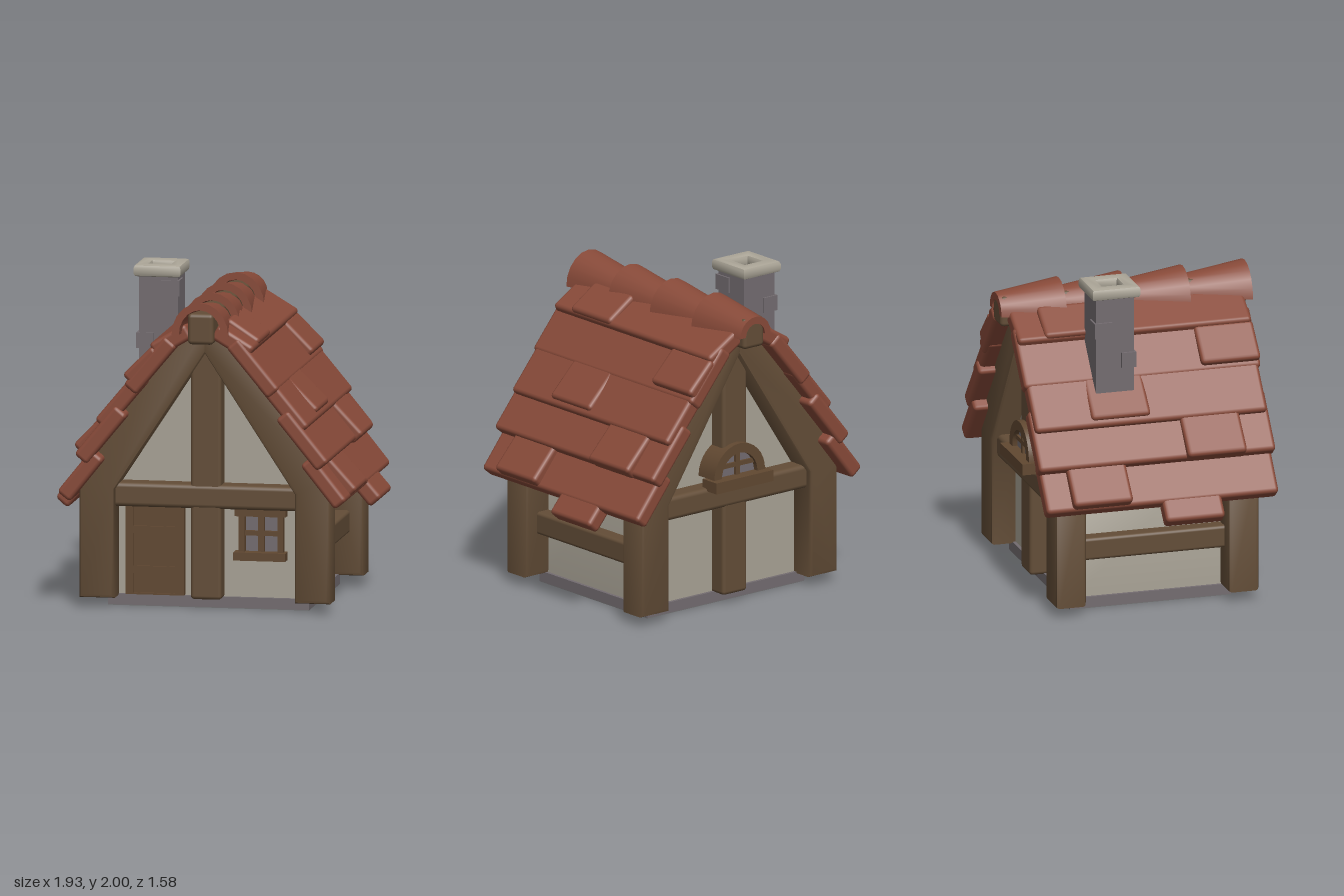
import * as THREE from 'three';
import { toCreasedNormals } from 'three/addons/utils/BufferGeometryUtils.js';
import { RoundedBoxGeometry } from 'three/addons/geometries/RoundedBoxGeometry.js';

const paint = (name, color) => {
  const m = new THREE.MeshStandardMaterial({ color });
  m.name = name;
  return m;
};

export function createModel() {
  const plaster = paint('plaster', 0xa8a295);
  const timber = paint('timber', 0x634d37);
  const doorWood = paint('door wood', 0x614831);
  const clay = paint('roof clay', 0x884a39);
  const stone = paint('grey stone', 0x736c70);
  const capStone = paint('pale stone', 0xaca698);
  const dark = paint('dark underside', 0x717171);

  const model = new THREE.Group();
  model.name = 'cottage';

  const add = (parent, name, geometry, material) => {
    const mesh = new THREE.Mesh(geometry, material);
    mesh.name = name;
    parent.add(mesh);
    return mesh;
  };
  // Box given by its limits, with optional rounded edges
  const box = (parent, name, material, [x0, x1], [y0, y1], [z0, z1], r = 0) => {
    const size = [x1 - x0, y1 - y0, z1 - z0];
    const geo = r ? new RoundedBoxGeometry(...size, 2, r) : new THREE.BoxGeometry(...size);
    geo.translate((x0 + x1) / 2, (y0 + y1) / 2, (z0 + z1) / 2);
    return add(parent, name, geo, material);
  };
  // Outline in x, y extruded from z0 to z1, with optional bevel and holes
  const slab = (parent, name, material, outline, z0, z1, bevel = 0, holes = []) => {
    const toPoints = (list) => list.map(([x, y]) => new THREE.Vector2(x, y));
    const shape = new THREE.Shape(toPoints(outline));
    holes.forEach((h) => shape.holes.push(new THREE.Path(toPoints(h))));
    const geo = new THREE.ExtrudeGeometry(shape, {
      depth: z1 - z0 - 2 * bevel, bevelEnabled: bevel > 0, bevelThickness: bevel,
      bevelSize: bevel, bevelOffset: -bevel, bevelSegments: 2,
    });
    geo.translate(0, 0, z0 + bevel);
    return add(parent, name, toCreasedNormals(geo, 0.7), material);
  };
  const rect = (x0, x1, y0, y1) => [[x0, y0], [x1, y0], [x1, y1], [x0, y1]];

  // Foundation and walls
  box(model, 'foundation', stone, [-0.62, 0.62], [0.004, 0.07], [-0.51, 0.51]);
  box(model, 'foundationUnderside', dark, [-0.618, 0.618], [0, 0.006], [-0.508, 0.508]);
  slab(model, 'walls', plaster,
    [[-0.6, 0.06], [0.6, 0.06], [0.6, 0.97], [0, 1.73], [-0.6, 0.97]], -0.49, 0.49);

  // Timber frame, the same on both gables
  for (const s of [1, -1]) {
    const gable = new THREE.Group();
    gable.name = s > 0 ? 'frontFrame' : 'backFrame';
    gable.rotation.y = s > 0 ? 0 : Math.PI;
    model.add(gable);
    for (const m of [1, -1]) {
      const flip = (pts) => (m > 0 ? pts : pts.map(([x, y]) => [-x, y]).reverse());
      slab(gable, 'cornerPostAndRafter', timber,
        flip([[0.555, 0.062], [0.772, 0.062], [0.772, 0.83], [0.4, 1.38], [0.1, 1.75], [-0.02, 1.75],
          [-0.02, 1.61], [0.555, 0.73]]), 0.45, 0.645, 0.022);
    }
    box(gable, 'centrePost', timber, [-0.095, 0.095], [0.062, 1.72], [0.42, 0.6], 0.022);
    box(gable, 'crossBeam', timber, [-0.6, 0.6], [0.62, 0.768], [0.44, 0.607], 0.028);
    box(model, 'sideBeam', timber, s > 0 ? [0.56, 0.69] : [-0.69, -0.56],
      [0.325, 0.465], [-0.5, 0.5], 0.02);
  }
  box(model, 'ridgeBeam', timber, [-0.08, 0.08], [1.655, 1.845], [-0.78, 0.78], 0.025);

  // Door with three recessed panels
  const panels = [[0.085, 0.205], [0.25, 0.45], [0.495, 0.62]];
  const door = new THREE.Group();
  door.name = 'door';
  model.add(door);
  slab(door, 'doorFrame', doorWood, rect(-0.505, -0.145, 0.075, 0.65), 0.48, 0.545, 0,
    panels.map(([a, b]) => rect(-0.455, -0.2, a, b)));
  box(door, 'doorPanels', doorWood, [-0.49, -0.16], [0.08, 0.64], [0.48, 0.53]);

  // Front window
  const win = new THREE.Group();
  win.name = 'frontWindow';
  model.add(win);
  box(win, 'pane', stone, [0.2, 0.46], [0.34, 0.6], [0.488, 0.497]);
  slab(win, 'windowFrame', doorWood, rect(0.19, 0.465, 0.34, 0.6), 0.48, 0.54, 0,
    [rect(0.228, 0.43, 0.355, 0.575)]);
  box(win, 'mullion', doorWood, [0.309, 0.345], [0.35, 0.58], [0.49, 0.52]);
  box(win, 'crossbar', doorWood, [0.22, 0.44], [0.452, 0.482], [0.49, 0.518]);
  box(win, 'sill', doorWood, [0.165, 0.485], [0.305, 0.355], [0.48, 0.575]);
  box(win, 'lintel', doorWood, [0.17, 0.485], [0.575, 0.622], [0.48, 0.56]);

  // Arched window on the back gable
  const arched = new THREE.Group();
  arched.name = 'backWindow';
  arched.rotation.y = Math.PI;
  model.add(arched);
  const arc = (r) => Array.from({ length: 17 }, (_, i) => {
    const a = (i / 16) * Math.PI;
    return [r * Math.cos(a), 0.82 + r * Math.sin(a)];
  });
  slab(arched, 'archFrame', doorWood, [...arc(0.2), ...arc(0.14).reverse()], 0.48, 0.64);
  slab(arched, 'archPane', stone, arc(0.15), 0.599, 0.607);
  box(arched, 'archMullion', doorWood, [-0.016, 0.016], [0.81, 0.965], [0.59, 0.624]);
  box(arched, 'archCrossbar', doorWood, [-0.132, 0.132], [0.872, 0.9], [0.59, 0.622]);
  box(arched, 'archSill', doorWood, [-0.225, 0.225], [0.75, 0.82], [0.56, 0.69]);

  // Roof slopes: rows [x, y of lower outer edge, fall, length, width] with one slipped tile each
  const rows = [
    [0.895, 0.72, 1.25, 0.34, 1.47], [0.787, 0.955, 1.22, 0.4, 1.5],
    [0.663, 1.168, 1.2, 0.4, 1.47], [0.483, 1.392, 1.2, 0.4, 1.5],
    [0.328, 1.642, 0.6, 0.26, 1.48],
  ];
  const slipped = [
    [0.973, 0.625, 1.15, 0.3, -0.185], [0.932, 0.765, 1.1, 0.3, 0.385],
    [0.828, 0.98, 1.05, 0.3, -0.37], [0.658, 1.215, 1, 0.3, 0.19],
    [0.49, 1.45, 1, 0.26, -0.56], [0.335, 1.662, 0.66, 0.24, 0.385],
  ];
  for (const s of [1, -1]) {
    const slope = new THREE.Group();
    slope.name = s > 0 ? 'leftRoof' : 'rightRoof';
    slope.rotation.y = s > 0 ? 0 : Math.PI;
    model.add(slope);
    const tile = (name, x, y, fall, length, width, z) => {
      const geo = new RoundedBoxGeometry(length, 0.1, width, 2, 0.025);
      geo.translate(-length / 2, -0.05, 0);
      const mesh = add(slope, name, geo, clay);
      mesh.position.set(x, y, z);
      mesh.rotation.z = -Math.atan(fall);
    };
    rows.forEach(([x, y, f, l, w]) => tile('tileRow', x, y, f, l, w, 0));
    slipped.forEach(([x, y, f, l, z]) => tile('slippedTile', x, y, f, l, 0.375, z));
    // Bedding that closes the roof beneath the tiles
    slab(slope, 'roofBedding', clay,
      [[0.79, 0.74], [0.8, 0.8], [0.12, 1.69], [0.07, 1.75], [0.07, 1.7]], -0.62, 0.62);
  }

  // Ridge tiles: tapered half-round shells lofted between two arches
  const n = 10;
  const arch = (w, low, top, z) => {
    const ring = [];
    for (const t of [0, 0.045]) {
      const half = [];
      for (let i = 0; i <= n; i++) {
        const a = (i / n) * Math.PI;
        half.push([(w - t) * Math.cos(a), low + (top - t - low) * Math.sin(a), z]);
      }
      ring.push(...(t ? half.reverse() : half));
    }
    return ring;
  };
  const ridgeTile = (z) => {
    const ring = 2 * (n + 1);
    const points = [...arch(0.175, 1.715, 1.915, z), ...arch(0.12, 1.735, 1.855, z - 0.4)];
    const index = [];
    for (let i = 0; i < ring; i++) {
      const j = (i + 1) % ring;
      index.push(i, i + ring, j, j, i + ring, j + ring);
    }
    for (let i = 0; i < n; i++) {
      const a = ring - 1 - i;
      index.push(i, i + 1, a, i + 1, a - 1, a);
      index.push(i + 1 + ring, i + ring, a + ring, a - 1 + ring, i + 1 + ring, a + ring);
    }
    const geo = new THREE.BufferGeometry();
    geo.setAttribute('position', new THREE.Float32BufferAttribute(points.flat(), 3));
    geo.setIndex(index);
    return toCreasedNormals(geo, 0.7);
  };
  for (let i = 0; i < 4; i++) add(model, 'ridgeTile', ridgeTile(0.79 - i * 0.393), clay);

  // Chimney with raised corner stones and a hollow cap
  const chimney = new THREE.Group();
  chimney.name = 'chimney';
  model.add(chimney);
  box(chimney, 'shaft', stone, [-0.54, -0.3], [1.15, 1.93], [-0.32, -0.08]);
  box(chimney, 'cornerStone', stone, [-0.4, -0.288], [1.81, 1.905], [-0.19, -0.068]);
  box(chimney, 'cornerStone', stone, [-0.555, -0.45], [1.485, 1.58], [-0.16, -0.068]);
  box(chimney, 'cornerStone', stone, [-0.555, -0.45], [1.685, 1.78], [-0.332, -0.22]);
  const cap = slab(chimney, 'cap', capStone, rect(-0.145, 0.145, -0.152, 0.152), 0, 0.075, 0.022,
    [rect(-0.064, 0.064, -0.064, 0.064)]);
  cap.rotation.x = -Math.PI / 2;
  cap.position.set(-0.422, 1.925, -0.197);

  return model;
}
